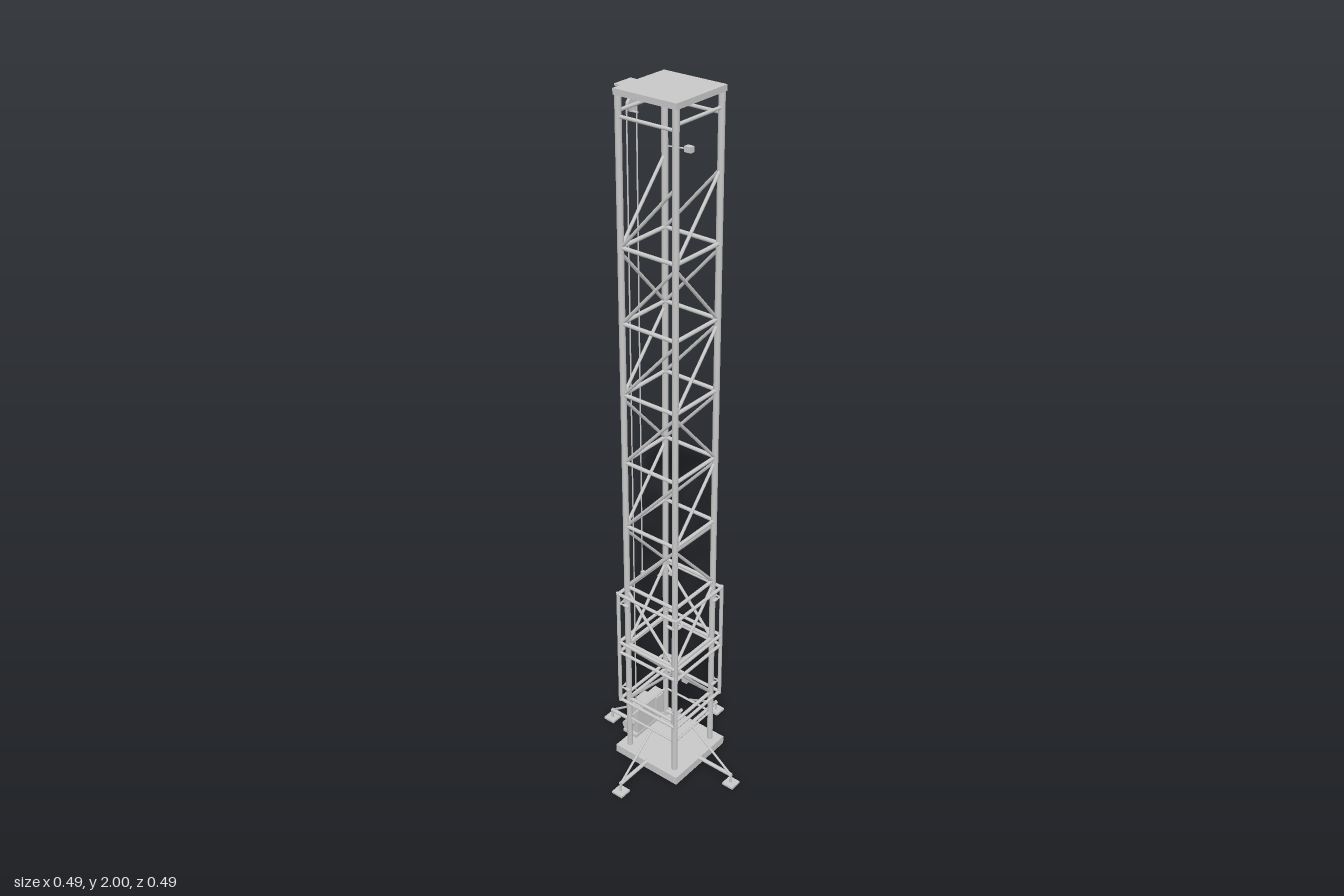
import * as THREE from 'three';

export function createModel() {
  const root = new THREE.Group();
  root.name = 'liftMast';
  const steel = new THREE.MeshStandardMaterial({ color: 0xc8c8c8 });
  steel.name = 'grey steel';

  function group(name) {
    const g = new THREE.Group();
    g.name = name;
    root.add(g);
    return g;
  }
  function add(parent, name, geometry) {
    const m = new THREE.Mesh(geometry, steel);
    m.name = name;
    parent.add(m);
    return m;
  }
  function box(parent, name, w, h, d, x, y, z) {
    add(parent, name, new THREE.BoxGeometry(w, h, d)).position.set(x, y, z);
  }
  // round member of diameter t between two points
  function rod(parent, name, a, b, t) {
    const p = new THREE.Vector3(...a), q = new THREE.Vector3(...b);
    const m = add(parent, name, new THREE.CylinderGeometry(t / 2, t / 2, p.distanceTo(q), 12));
    m.position.copy(p).add(q).multiplyScalar(0.5);
    m.quaternion.setFromUnitVectors(new THREE.Vector3(0, 1, 0), q.sub(p).normalize());
  }
  // square ring of four tubes
  function ring(parent, name, r, y, t) {
    for (const s of [-r, r]) {
      rod(parent, name, [-r, y, s], [r, y, s], t);
      rod(parent, name, [s, y, -r], [s, y, r], t);
    }
  }

  // base and top plates
  box(root, 'basePlate', 0.226, 0.026, 0.226, 0, 0.025, 0);
  box(root, 'topPlate', 0.185, 0.015, 0.185, 0, 1.9925, 0);

  // lattice mast
  const mast = group('mast');
  const R = 0.084;
  for (const x of [-R, R]) for (const z of [-R, R])
    rod(mast, 'mastLeg', [x, 0.036, z], [x, 1.986, z], 0.017);
  ring(mast, 'mastRail', R, 0.14, 0.007);
  for (let i = 0; i < 8; i++) {
    const y = 0.215 + i * 0.2;
    ring(mast, 'mastRail', R, y, 0.011);
    const lo = y + 0.003, hi = y + 0.182;
    const front = i % 2 ? 0.08 : -0.08;    // front and back zigzag
    const side = i === 1 ? -0.08 : 0.08;   // sides lean one way
    for (const s of [-R, R]) {
      rod(mast, 'mastDiagonal', [-front, lo, s], [front, hi, s], 0.009);
      rod(mast, 'mastDiagonal', [s, lo, -side], [s, hi, side], 0.009);
    }
  }
  for (const s of [-R, R]) {
    rod(mast, 'topRail', [-R, 1.948, s], [R, 1.948, s], 0.009);
    rod(mast, 'topRail', [s, 1.935, -R], [s, 1.935, R], 0.009);
  }

  // sliding carriage around the mast
  const carriage = group('carriage');
  const C = 0.102;
  for (const x of [-C, C]) for (const z of [-C, C])
    rod(carriage, 'carriagePost', [x, 0.209, z], [x, 0.595, z], 0.011);
  for (const y of [0.214, 0.387, 0.422, 0.59]) ring(carriage, 'carriageRail', C, y, 0.01);
  for (const y of [0.257, 0.557]) for (const sx of [-1, 1]) for (const sz of [-1, 1]) {
    rod(carriage, 'guideRoller', [sx * 0.097, y, sz * 0.068], [sx * 0.097, y, sz * 0.086], 0.01);
    rod(carriage, 'guideRoller', [sx * 0.068, y, sz * 0.097], [sx * 0.086, y, sz * 0.097], 0.01);
    rod(carriage, 'rollerPin', [sx * 0.098, y, sz * 0.086], [sx * 0.1, y, sz * C], 0.005);
    rod(carriage, 'rollerPin', [sx * 0.086, y, sz * 0.098], [sx * C, y, sz * 0.1], 0.005);
  }
  box(carriage, 'cableAnchor', 0.01, 0.01, 0.016, 0.018, 0.59, -0.11);

  // four outriggers with feet
  for (let i = 0; i < 4; i++) {
    const leg = group('outrigger');
    rod(leg, 'arm', [0.1, 0.034, 0], [0.227, 0.034, 0], 0.012);
    rod(leg, 'brace', [0.222, 0.036, 0], [0.086, 0.138, 0], 0.007);
    rod(leg, 'footScrew', [0.226, 0.004, 0], [0.226, 0.034, 0], 0.007);
    box(leg, 'footPad', 0.036, 0.007, 0.036, 0.226, 0.0035, 0);
    leg.rotation.y = i * Math.PI / 2;
  }

  // winch on the back of the base
  const winch = group('winch');
  box(winch, 'winchBed', 0.15, 0.01, 0.05, 0.02, 0.043, -0.11);
  box(winch, 'winchHousing', 0.08, 0.092, 0.04, -0.005, 0.094, -0.107);
  box(winch, 'motor', 0.043, 0.072, 0.04, 0.068, 0.084, -0.11);
  rod(winch, 'driveShaft', [0.03, 0.085, -0.12], [0.056, 0.085, -0.12], 0.009);
  rod(winch, 'shaftCap', [-0.07, 0.085, -0.11], [-0.04, 0.085, -0.11], 0.03);

  // head pulley and its bracket
  const pulley = group('pulley');
  box(pulley, 'pulleyBracket', 0.06, 0.005, 0.05, 0, 1.984, -0.117);
  rod(pulley, 'pulleyHanger', [0, 1.982, -0.115], [0, 1.936, -0.115], 0.004);
  rod(pulley, 'pulleyWheel', [0, 1.936, -0.119], [0, 1.936, -0.111], 0.036);
  rod(pulley, 'pulleyAxle', [0, 1.92, -0.128], [0, 1.92, -0.096], 0.005);

  // hoist cables
  rod(root, 'winchCable', [-0.018, 0.13, -0.115], [-0.018, 1.936, -0.115], 0.004);
  rod(root, 'carriageCable', [0.018, 0.59, -0.115], [0.018, 1.936, -0.115], 0.004);

  // travel limit switches
  for (const y of [0.19, 1.82]) {
    const limit = group('limitSwitch');
    box(limit, 'switchBox', 0.015, 0.015, 0.02, 0.104, y, -0.025);
    rod(limit, 'switchArm', [0.088, y, -0.084], [0.102, y, -0.03], 0.004);
  }
  return root;
}
